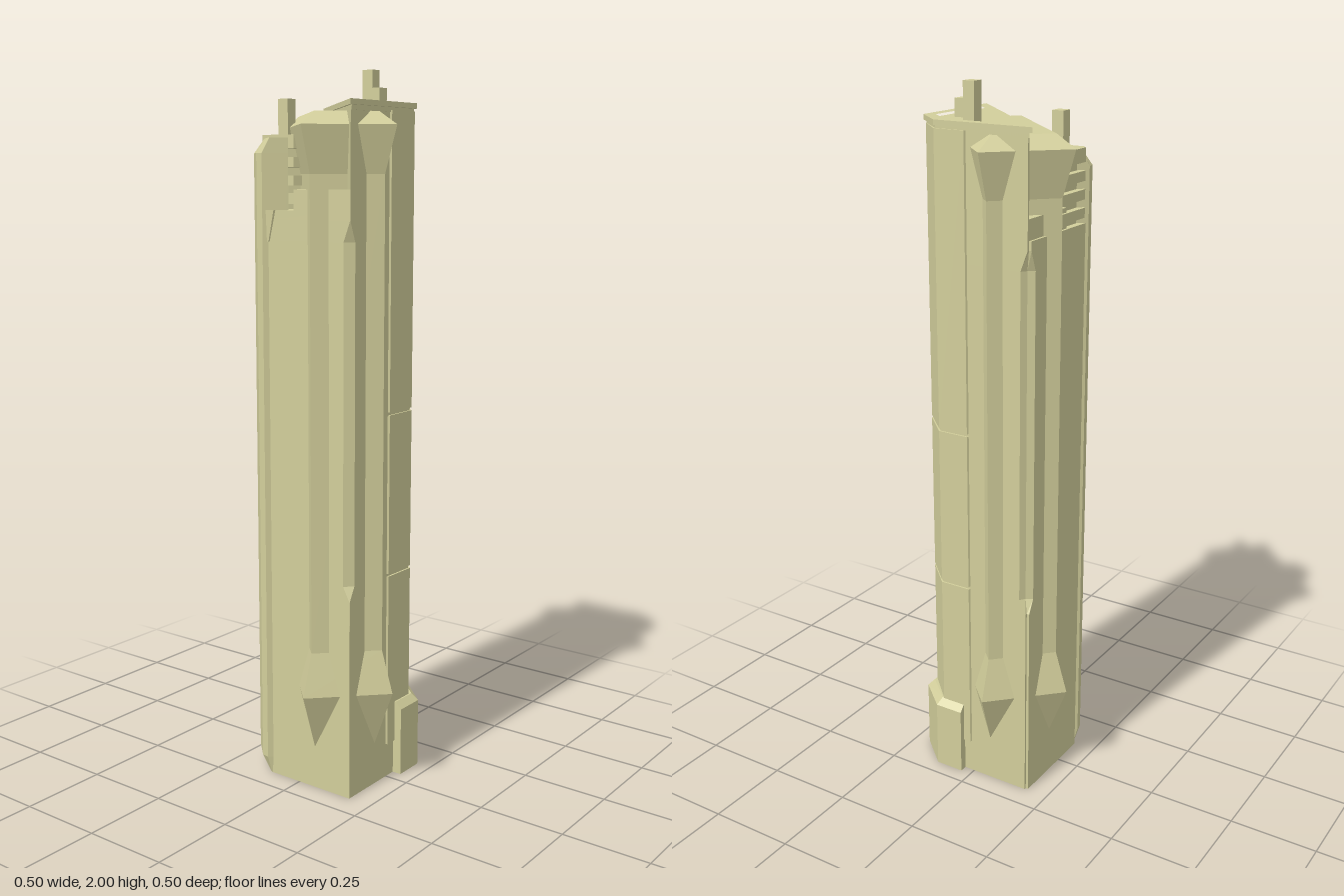
import * as THREE from 'three';

const khaki = new THREE.MeshStandardMaterial({ color: 0xd2ce9b });
khaki.name = 'khaki';

// Flat-sided solid through convex rings: sections = [[y, [[x, z], ...]], ...] from bottom to top
function loft(sections) {
  const area = sections[Math.floor(sections.length / 2)][1].reduce((a, p, i, r) => {
    const q = r[(i + 1) % r.length];
    return a + p[0] * q[1] - q[0] * p[1];
  }, 0);
  const rings = sections.map(([y, ring]) => {
    const pts = ring.map(([x, z]) => [x, y, z]);
    return area > 0 ? pts.reverse() : pts;
  });
  const pos = [];
  const tri = (a, b, c) => pos.push(...a, ...b, ...c);
  const n = rings[0].length;
  for (let k = 0; k < rings.length - 1; k++) {
    const lo = rings[k], hi = rings[k + 1];
    for (let i = 0; i < n; i++) {
      const j = (i + 1) % n;
      tri(lo[i], lo[j], hi[j]);
      tri(lo[i], hi[j], hi[i]);
    }
  }
  const bottom = rings[0], top = rings[rings.length - 1];
  for (let i = 1; i < n - 1; i++) {
    tri(bottom[0], bottom[i + 1], bottom[i]);
    tri(top[0], top[i], top[i + 1]);
  }
  const g = new THREE.BufferGeometry();
  g.setAttribute('position', new THREE.Float32BufferAttribute(pos, 3));
  g.computeVertexNormals();
  return g;
}
const prism = (ring, y0, y1) => loft([[y0, ring], [y1, ring]]);

// Diagonal coordinates: u runs from back right to front left, w points to the front right corner
const diag = (u, w) => [(u - w) * Math.SQRT1_2, (u + w) * Math.SQRT1_2];

export function createModel() {
  const tower = new THREE.Group();
  tower.name = 'tower';
  const add = (name, geometry) => {
    const m = new THREE.Mesh(geometry, khaki);
    m.name = name;
    tower.add(m);
    return m;
  };

  // Core in two halves meeting on the diagonal; the shared corners are cut back at mid height
  const S = 0.178;
  const frontHalf = (c) => [
    [S - c / 2, S - c / 2], [S - c, S], [-0.1, S], [-0.185, 0.1],
    [-0.185, -S + c], [-S + c / 2, -S + c / 2],
  ];
  const backHalf = (c) => [
    [S - c / 2, S - c / 2], [S, S - c], [S, -0.105], [0.1, -0.183],
    [-S + c, -0.183], [-S + c / 2, -S + c / 2],
  ];
  const cut = (half, top) => loft([
    [0, half(0.001)], [0.575, half(0.001)], [0.615, half(0.022)],
    [1.545, half(0.022)], [1.6, half(0.001)], [top, half(0.001)],
  ]);
  add('frontCore', cut(frontHalf, 1.625));
  add('backCore', cut(backHalf, 1.89));
  add('frontCornerStep', prism([[0, 0], [-0.01, S], [S, S]], 1.6, 1.68));
  add('rearCornerStep', prism([[0, 0], [-S, -S], [-S, 0.01]], 1.6, 1.68));

  // Diagonal slab with flared ends
  const slabRing = (u, w) => [diag(u, w), diag(-u, w), diag(-u, -w), diag(u, -w)];
  add('diagonalSlab', loft([
    [0.12, 0.165, 0.085], [0.295, 0.229, 0.125], [0.415, 0.202, 0.099],
    [1.72, 0.202, 0.099], [1.845, 0.229, 0.125], [1.88, 0.19, 0.084],
  ].map(([y, u, w]) => [y, slabRing(u, w)])));

  // Upright fin on the cut front corner
  const fin = (u, w, tip) => [
    diag(-u, 0.14), diag(-u, w), diag(-u * 0.68, tip),
    diag(u * 0.68, tip), diag(u, w), diag(u, 0.14),
  ];
  add('cornerFin', loft([
    [0, fin(0.055, 0.198, 0.202)], [0.05, fin(0.057, 0.211, 0.224)],
    [1.775, fin(0.057, 0.211, 0.224)], [1.815, fin(0.057, 0.19, 0.195)],
  ]));

  // Vent block behind the fin, with stacked slats
  add('ventBlock', prism(
    [[-0.165, -0.04], [-0.165, 0.09], [-0.1, 0.09], [-0.05, 0.03]], 1.6, 1.8));
  const slat = [[-0.185, -0.06], [-0.185, 0.095], [-0.172, 0.108], [-0.065, 0.108], [-0.05, 0.07]];
  for (let i = 0; i < 4; i++) add('ventSlat', prism(slat, 1.64 + i * 0.049, 1.667 + i * 0.049));
  add('ventTop', prism(slat, 1.8, 1.825));
  add('ventFoot', loft([
    [1.54, [[-0.103, 0.17], [-0.103, 0.181], [-0.095, 0.181], [-0.095, 0.17]]],
    [1.625, [[-0.11, 0.12], [-0.11, 0.183], [-0.075, 0.183], [-0.05, 0.135]]],
  ]));

  // Cladding panels round the cut back corner, with narrow joints between them
  const panel = [[0, -0.17], [0.01, -0.188], [0.102, -0.188], [S + 0.005, -0.107], [S + 0.005, 0], [0.17, 0.008]];
  for (const [y0, y1] of [[0.1, 0.605], [0.613, 1.067], [1.075, 1.885]]) {
    add('backCornerPanel', prism(panel, y0, y1));
  }

  // Buttress at the foot of the back corner
  const foot = (d) => [
    [0.032, -0.16], [0.032, -0.205 + d], [0.117 - d / 2, -0.205 + d],
    [0.205 - d, -0.125 + d / 2], [0.205 - d, -0.036], [0.16, -0.036],
  ];
  add('buttress', loft([[0, foot(0)], [0.2, foot(0)], [0.22, foot(0.018)]]));

  // Roof deck with a raised rim
  const outer = [[-0.194, -0.191], [0.1, -0.191], [0.188, -0.11], [0.187, 0.19]];
  const inner = [[-0.122, -0.16], [0.088, -0.16], [0.158, -0.097], [0.158, 0.12]];
  const toVec = ([x, z]) => new THREE.Vector2(x, -z);
  const rim = new THREE.Shape(outer.map(toVec));
  rim.holes.push(new THREE.Path(inner.map(toVec)));
  const rimGeometry = new THREE.ExtrudeGeometry(rim, { depth: 0.014, bevelEnabled: false });
  rimGeometry.rotateX(-Math.PI / 2);
  add('roofRim', rimGeometry).position.y = 1.893;
  add('roofDeck', prism([[-0.18, -0.183], [0.1, -0.183], [0.18, -0.108], [0.18, 0.175]], 1.88, 1.896));

  // Square masts
  for (const [x, z, y0, y1] of [
    [0.038, -0.105, 1.89, 2], [0.12, -0.023, 1.89, 1.945], [-0.133, 0.052, 1.81, 1.922],
  ]) {
    add('mast', new THREE.BoxGeometry(0.034, y1 - y0, 0.034)).position.set(x, (y0 + y1) / 2, z);
  }
  return tower;
}
